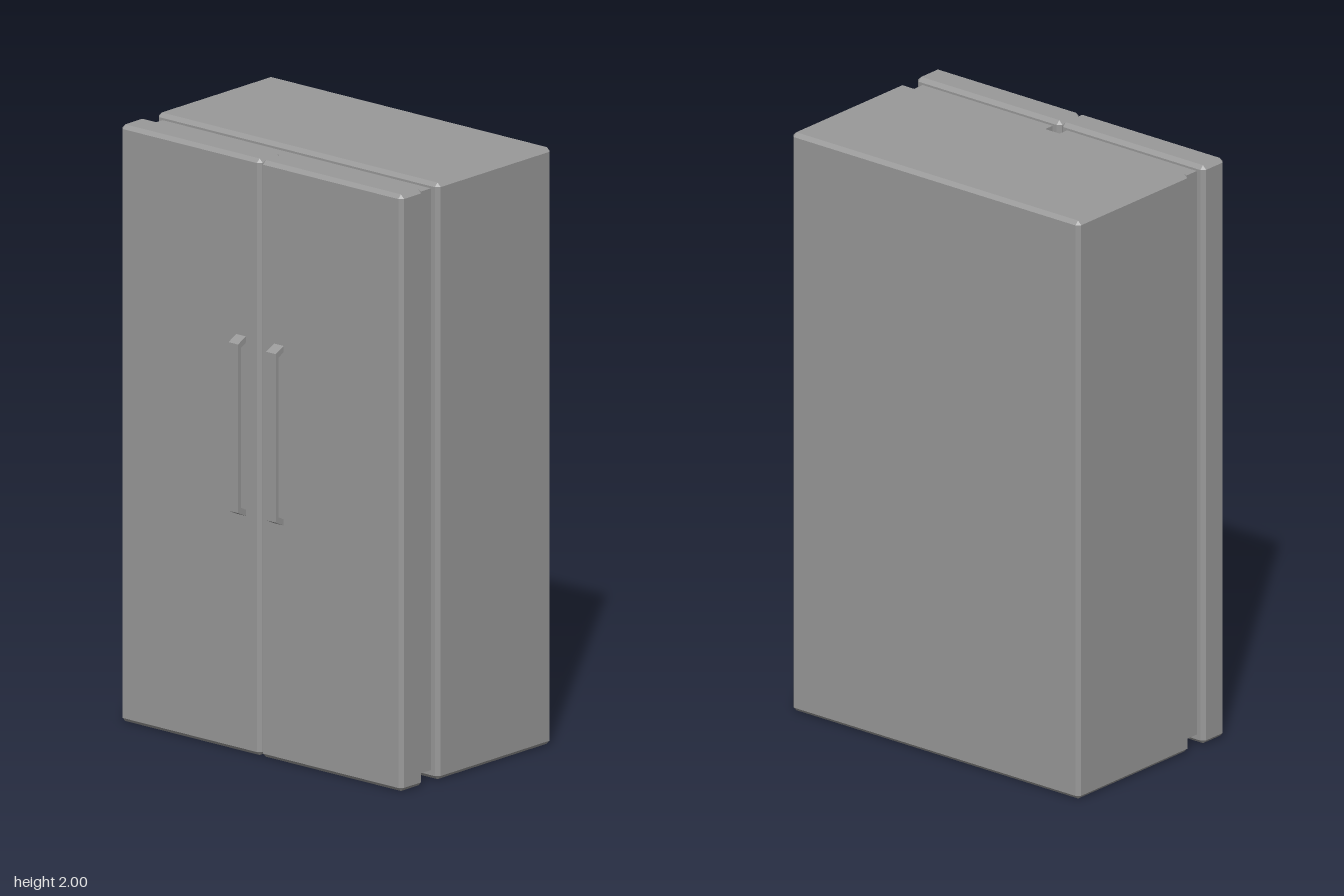
import * as THREE from 'three';
import { ConvexGeometry } from 'three/addons/geometries/ConvexGeometry.js';

const BEVEL = 0.013;

// Box given by its two corners, with every edge chamfered by c
function chamferBox(min, max, c = BEVEL) {
  const half = min.map((v, i) => (max[i] - v) / 2);
  const mid = min.map((v, i) => (max[i] + v) / 2);
  const points = [];
  for (const sx of [-1, 1]) for (const sy of [-1, 1]) for (const sz of [-1, 1]) {
    for (let axis = 0; axis < 3; axis++) {
      const p = [sx, sy, sz].map((s, i) => mid[i] + s * (half[i] - (i === axis ? 0 : c)));
      points.push(new THREE.Vector3(...p));
    }
  }
  return new ConvexGeometry(points);
}

// Plain box given by its two corners
function plainBox(min, max) {
  const size = min.map((v, i) => max[i] - v);
  const geometry = new THREE.BoxGeometry(...size);
  return geometry.translate(...min.map((v, i) => (v + max[i]) / 2));
}

// Bracket handle: side profile (z, y) extruded across its width
function handleGeometry(x, width) {
  const profile = [
    [0.34, 0.795], [0.346, 0.795], [0.384, 0.813], [0.384, 1.378], [0.346, 1.397], [0.34, 1.397],
    [0.34, 1.378], [0.346, 1.376], [0.37, 1.364], [0.37, 0.828], [0.346, 0.816], [0.34, 0.814],
  ];
  const shape = new THREE.Shape(profile.map(([z, y]) => new THREE.Vector2(z, y)));
  const geometry = new THREE.ExtrudeGeometry(shape, { depth: width, bevelEnabled: false });
  geometry.rotateY(-Math.PI / 2); // profile x becomes z, extrusion runs to -x
  return geometry.translate(x + width / 2, 0, 0);
}

export function createModel() {
  const model = new THREE.Group();
  model.name = 'refrigerator';
  const grey = new THREE.MeshStandardMaterial({ color: 0x999999 });
  grey.name = 'grey';

  const add = (name, geometry) => {
    const mesh = new THREE.Mesh(geometry, grey);
    mesh.name = name;
    model.add(mesh);
  };

  // Cabinet and the recessed collar on its front
  add('cabinet', chamferBox([-0.604, 0, -0.386], [0.604, 2, 0.169]));
  add('collar', plainBox([-0.576, 0.03, 0.15], [0.574, 1.98, 0.2]));

  // Door seals, with a slot between them
  add('rightSeal', plainBox([-0.576, 0.03, 0.2], [-0.032, 1.98, 0.25]));
  add('leftSeal', plainBox([0.029, 0.03, 0.2], [0.574, 1.98, 0.25]));

  // Doors
  add('rightDoor', chamferBox([-0.604, 0, 0.237], [-0.002, 2, 0.346]));
  add('leftDoor', chamferBox([-0.001, 0, 0.237], [0.604, 2, 0.346]));

  // Handles
  add('rightHandle', handleGeometry(-0.083, 0.041));
  add('leftHandle', handleGeometry(0.079, 0.041));

  return model;
}
